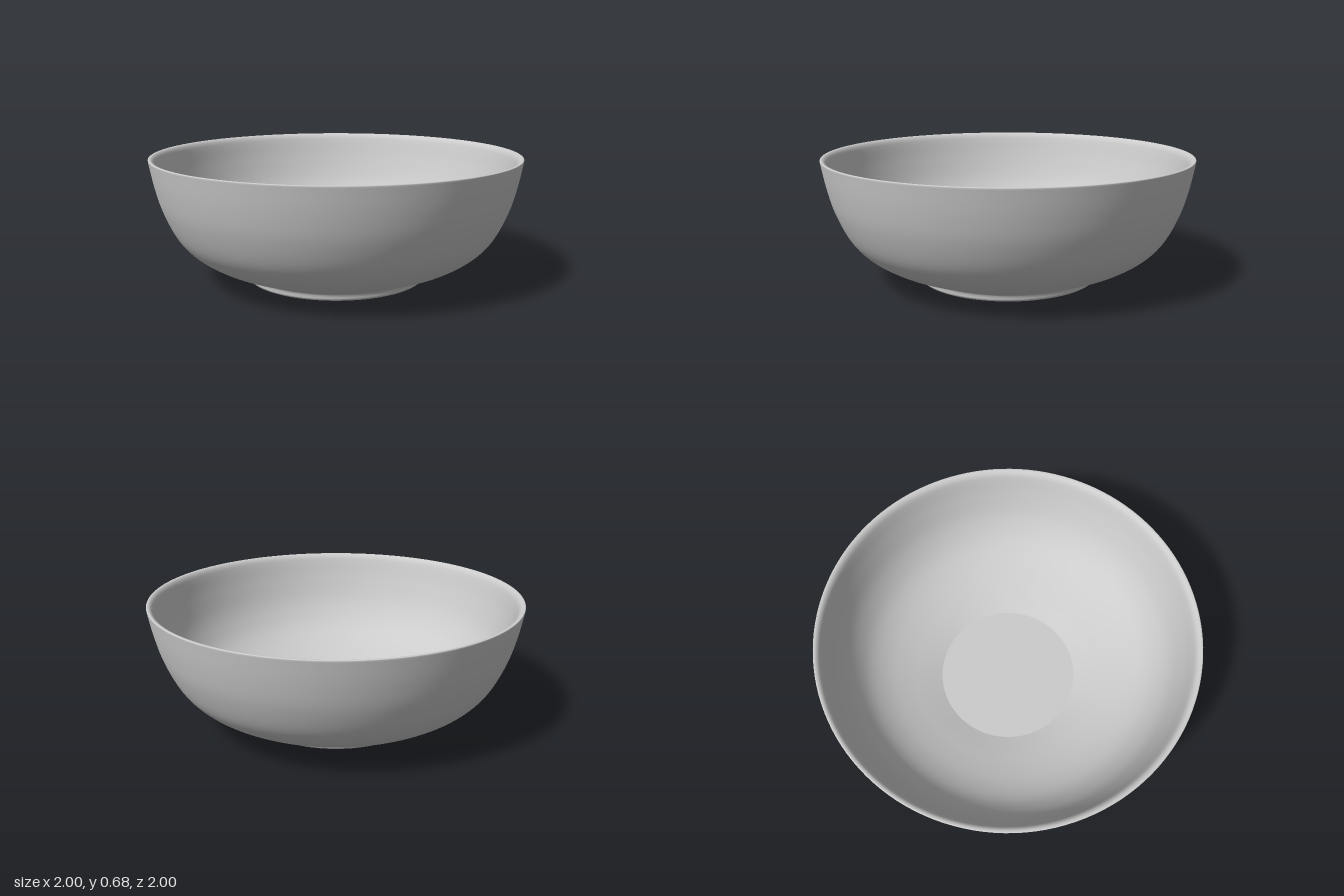
import * as THREE from 'three';

const SEGMENTS = 128;
const material = new THREE.MeshStandardMaterial({ color: 0xcccccc });

// Smooth curve through a few [radius, height] points
function smooth(points, divisions) {
  const curve = new THREE.SplineCurve(points.map(([r, y]) => new THREE.Vector2(r, y)));
  return curve.getPoints(divisions);
}

// Surface of revolution; profiles run from the underside, out over the rim and back in
function turned(name, profile) {
  const mesh = new THREE.Mesh(new THREE.LatheGeometry(profile, SEGMENTS), material);
  mesh.name = name;
  return mesh;
}

const straight = (points) => points.map(([r, y]) => new THREE.Vector2(r, y));

export function createModel() {
  const bowl = new THREE.Group();
  bowl.name = 'bowl';

  // Recessed flat base inside the foot ring
  bowl.add(turned('base', straight([[0, 0.037], [0.466, 0.037]])));

  // Foot ring: steep inner wall, narrow rounded standing edge, outer wall flaring into the body
  bowl.add(turned('footRing', smooth([
    [0.466, 0.037], [0.468, 0.015], [0.472, 0.003], [0.479, 0], [0.487, 0.002],
    [0.494, 0.011], [0.496, 0.025], [0.502, 0.039], [0.52, 0.049],
  ], 32)));

  // Outer wall
  bowl.add(turned('outerWall', smooth([
    [0.52, 0.049], [0.6, 0.077], [0.7, 0.12], [0.8, 0.187], [0.874, 0.275],
    [0.937, 0.41], [0.974, 0.54], [0.999, 0.67],
  ], 40)));

  // Rim and inner wall: the lip rolls softly inward into a steep wall that thickens downward
  bowl.add(turned('innerWall', smooth([
    [0.999, 0.67], [0.999, 0.678], [0.992, 0.68], [0.98, 0.675], [0.968, 0.66], [0.957, 0.63],
    [0.929, 0.535], [0.882, 0.41], [0.828, 0.32], [0.765, 0.25],
    [0.68, 0.192], [0.58, 0.146], [0.48, 0.108], [0.385, 0.072],
  ], 70)));

  // Flat floor
  bowl.add(turned('floor', straight([[0.385, 0.072], [0, 0.072]])));

  return bowl;
}
